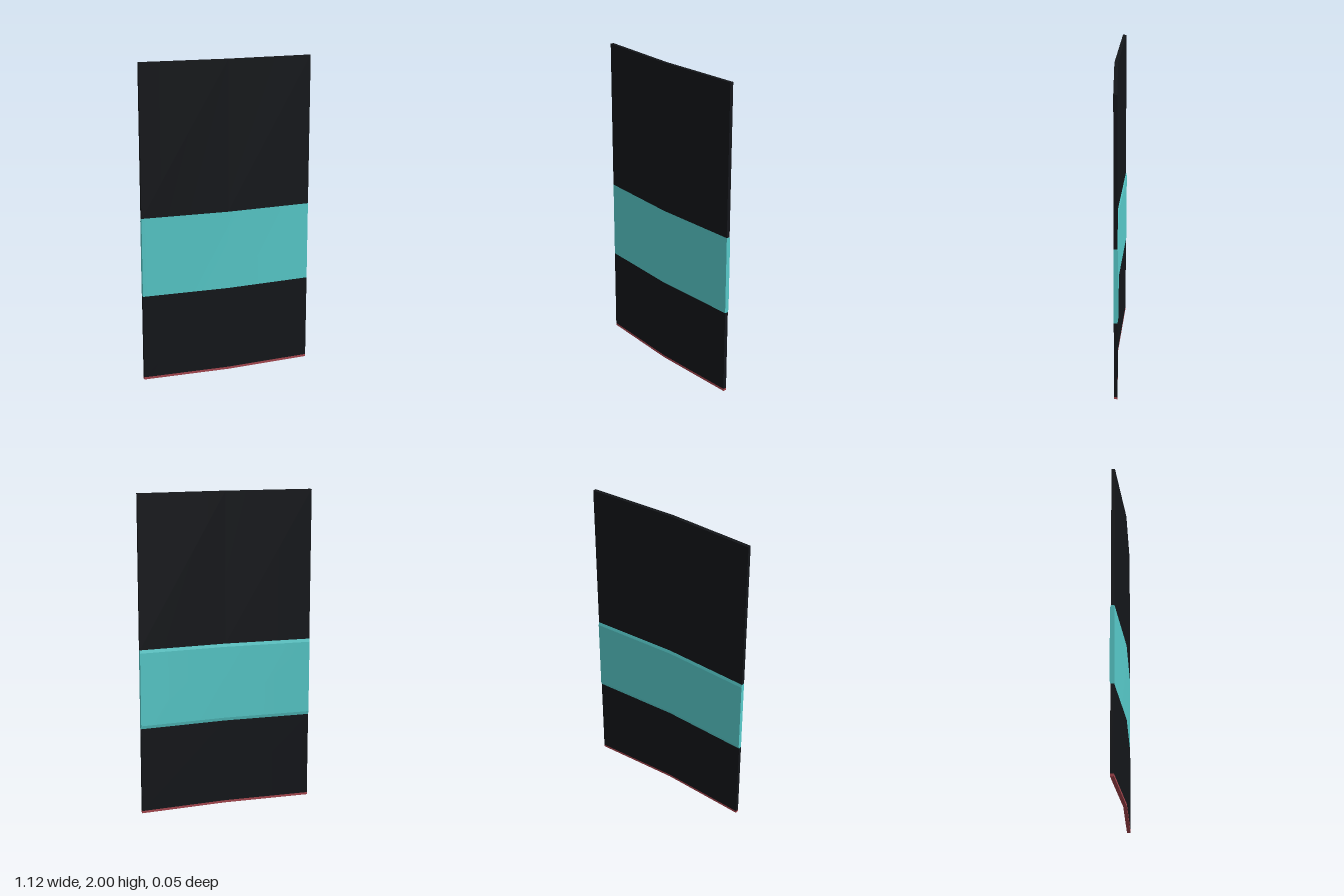
import * as THREE from 'three';
import { toCreasedNormals } from 'three/addons/utils/BufferGeometryUtils.js';

const HALF_WIDTH = 0.558;
const FRONT = 0.025;  // front face depth at the centre fold
const SWEEP = 0.024;  // how far the side edges fall back
const THICK = 0.022;

// Sweeps a [y, z] cross-section across the width, folding it back on both sides of x = 0.
function foldedPanel(name, color, profile) {
  const shape = new THREE.Shape(profile.map(([y, z]) => new THREE.Vector2(-z, y)));
  const geometry = new THREE.ExtrudeGeometry(shape, {
    depth: 2 * HALF_WIDTH, steps: 2, bevelEnabled: false,
  });
  geometry.rotateY(Math.PI / 2).translate(-HALF_WIDTH, 0, 0);
  const p = geometry.attributes.position;
  for (let i = 0; i < p.count; i++) {
    p.setZ(i, p.getZ(i) - SWEEP * Math.abs(p.getX(i)) / HALF_WIDTH);
  }
  // Smooth over the shallow fold, sharp at every other edge
  const mesh = new THREE.Mesh(
    toCreasedNormals(geometry, 0.15),
    new THREE.MeshStandardMaterial({ color }),
  );
  mesh.name = name;
  return mesh;
}

const slab = (y0, y1) => [
  [y0, FRONT], [y1, FRONT], [y1, FRONT - THICK], [y0, FRONT - THICK],
];

export function createModel() {
  const group = new THREE.Group();
  group.name = 'foldedPanel';

  // Dark panels above and below the band
  group.add(foldedPanel('upperPanel', 0x14161a, slab(1.05, 2)));
  group.add(foldedPanel('lowerPanel', 0x14161a, slab(0.015, 0.55)));

  // Thin red strip along the foot
  group.add(foldedPanel('bottomTrim', 0xa84850, slab(0, 0.015)));

  // Teal band, flush at the front and raised with chamfered edges at the back
  const back = FRONT - THICK, raised = back - 0.005;
  group.add(foldedPanel('middleBand', 0x58cccc, [
    [0.55, FRONT], [1.05, FRONT], [1.05, back],
    [1.03, raised], [0.57, raised], [0.55, back],
  ]));

  return group;
}
